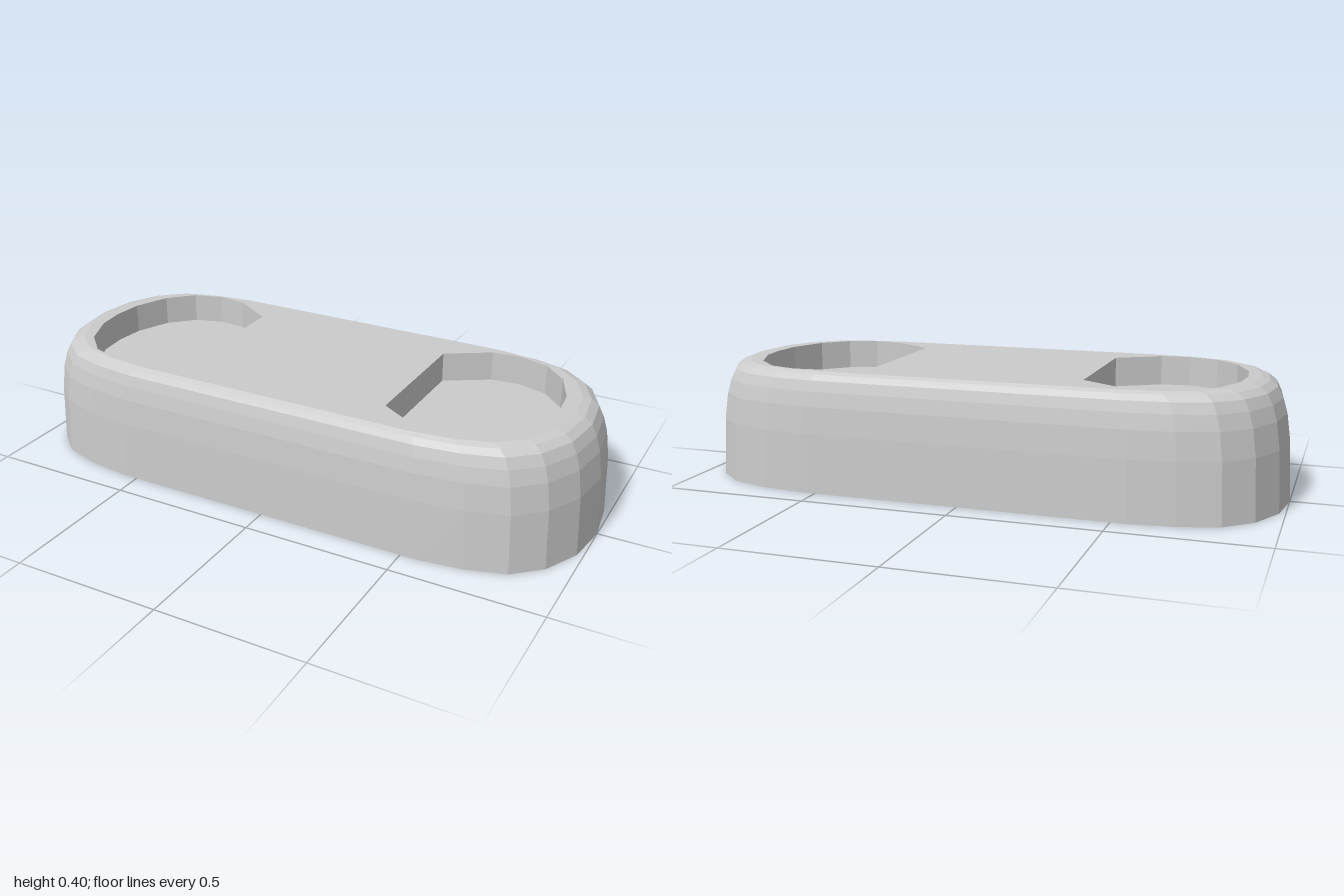
import * as THREE from 'three';

const material = new THREE.MeshStandardMaterial({ color: 0xcccccc, flatShading: true });
const TOP = 0.402, FLOOR = 0.3;

// Plan outlines are counter-clockwise [x, -z] loops seen from above.
const mirrorX = (pts) => pts.map(([u, v]) => [-u, v]).reverse();
const mirrorV = (pts) => pts.map(([u, v]) => [u, -v]).reverse();
const toVectors = (pts) => pts.map(([u, v]) => new THREE.Vector2(u, v));

// Wall skinned through closed rings of equal length: { y, pts }
function loft(rings) {
  const pos = [];
  for (let i = 0; i + 1 < rings.length; i++) {
    const lo = rings[i], hi = rings[i + 1], n = lo.pts.length;
    for (let j = 0; j < n; j++) {
      const k = (j + 1) % n;
      const p = (r, m) => [r.pts[m][0], r.y, -r.pts[m][1]];
      const a = p(lo, j), b = p(lo, k), c = p(hi, k), d = p(hi, j);
      pos.push(...a, ...b, ...c, ...a, ...c, ...d);
    }
  }
  const geo = new THREE.BufferGeometry();
  geo.setAttribute('position', new THREE.Float32BufferAttribute(pos, 3));
  geo.computeVertexNormals();
  return geo;
}

// Flat horizontal cap, facing up or down
function cap(pts, y, holes = [], up = true) {
  const shape = new THREE.Shape(toVectors(pts));
  holes.forEach((h) => shape.holes.push(new THREE.Path(toVectors(h))));
  return new THREE.ShapeGeometry(shape).rotateX(up ? -Math.PI / 2 : Math.PI / 2).translate(0, y, 0);
}

export function createModel() {
  const group = new THREE.Group();
  const add = (name, geo) => {
    const mesh = new THREE.Mesh(geo, material);
    mesh.name = name;
    group.add(mesh);
  };

  // Rounded-end footprint
  const quarter = [[0.98, 0.15], [0.92, 0.27], [0.83, 0.35], [0.7, 0.39], [0.55, 0.408]];
  const half = [[1, 0], ...quarter, ...mirrorX(quarter)];
  const outline = [...half, [-1, 0], ...mirrorV(half.slice(1))];

  // Side profile: height, inset along x, inset along z
  const profile = [[0, 0, 0], [0.2, 0.009, 0.004], [0.29, 0.022, 0.01], [0.34, 0.037, 0.018],
    [0.375, 0.055, 0.027], [0.394, 0.08, 0.04], [TOP, 0.108, 0.056]];
  const rings = profile.map(([y, ix, iz]) => ({
    y, pts: outline.map(([u, v]) => [u * (1 - ix), v * (1 - iz / 0.408)]),
  }));

  // D-shaped pocket outlines, one near each end
  const edge = [[0.83, 0.1], [0.78, 0.22], [0.7, 0.3], [0.6, 0.33], [0.5, 0.32], [0.355, 0.23]];
  const leftPocket = [[0.84, 0], ...edge, ...mirrorV(edge)];
  const rightPocket = mirrorX(leftPocket).map(([u, v]) => [u - 0.01, v]);

  add('bodySide', loft(rings));
  add('bodyBase', cap(outline, 0, [], false));
  add('bodyTop', cap(rings.at(-1).pts, TOP, [leftPocket, rightPocket]));

  // Pocket walls and floors
  for (const [name, pts] of [['leftPocket', leftPocket], ['rightPocket', rightPocket]]) {
    add(name + 'Wall', loft([{ y: TOP, pts }, { y: FLOOR, pts }]));
    add(name + 'Floor', cap(pts, FLOOR));
  }
  return group;
}
